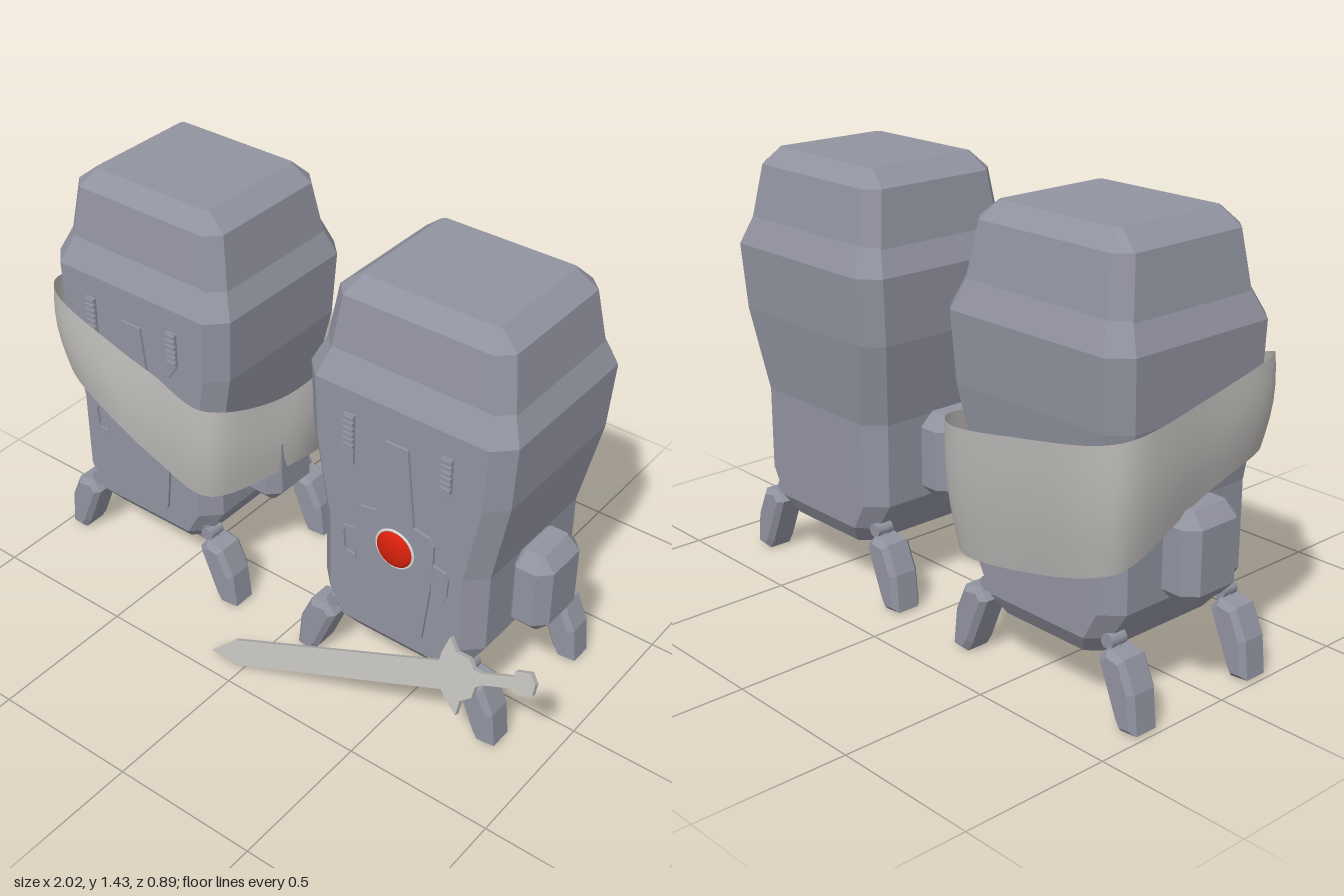
import * as THREE from 'three';

const mat = (name, color, side = THREE.FrontSide) => {
  const m = new THREE.MeshStandardMaterial({ color, side });
  m.name = name;
  return m;
};
const steel = mat('steelGrey', 0x9193a0);
const pale = mat('paleGrey', 0xb9b7b4, THREE.DoubleSide);
const red = mat('eyeRed', 0xd8200c);
const white = mat('eyeRimWhite', 0xd8d8d8);

function add(parent, name, geometry, material) {
  const mesh = new THREE.Mesh(geometry, material);
  mesh.name = name;
  parent.add(mesh);
  return mesh;
}

// Solid from chamfered rectangular rings: [y, half width, front z, back z, corner cut]
function loft(rings, cx = 0) {
  const pos = [], idx = [], n = rings.length;
  for (const [y, h, f, b, c] of rings) {
    const ring = [[h - c, f], [h, f - c], [h, b + c], [h - c, b],
      [c - h, b], [-h, b + c], [-h, f - c], [c - h, f]];
    for (const [x, z] of ring) pos.push(cx + x, y, z);
  }
  for (let r = 0; r < n - 1; r++) {
    for (let i = 0; i < 8; i++) {
      const a = r * 8 + i, b = r * 8 + (i + 1) % 8;
      idx.push(a, b, b + 8, a, b + 8, a + 8);
    }
  }
  const t = (n - 1) * 8;
  for (let i = 1; i < 7; i++) idx.push(0, i + 1, i, t, t + i, t + i + 1);
  let g = new THREE.BufferGeometry();
  g.setAttribute('position', new THREE.Float32BufferAttribute(pos, 3));
  g.setIndex(idx);
  g = g.toNonIndexed();
  g.computeVertexNormals();
  return g;
}

const toShape = (pts) => new THREE.Shape(pts.map(([x, y]) => new THREE.Vector2(x, y)));
const mirrored = (half) => [...half, ...half.slice().reverse().map(([x, y]) => [-x, y])];

function rod(a, b, r) {
  const p = new THREE.Vector3(...a), d = new THREE.Vector3(...b).sub(p);
  const g = new THREE.CylinderGeometry(r, r, d.length(), 10);
  g.applyQuaternion(new THREE.Quaternion().setFromUnitVectors(
    new THREE.Vector3(0, 1, 0), d.clone().normalize()));
  g.translate(p.x + d.x / 2, p.y + d.y / 2, p.z + d.z / 2);
  return g;
}

const FRONT = 0.23;

function buildRobot() {
  const robot = new THREE.Group();

  add(robot, 'body', loft([
    [0.185, 0.2, 0.18, -0.33, 0.04],
    [0.25, 0.25, FRONT, -0.37, 0.055],
    [0.34, 0.305, FRONT, -0.37, 0.06],
    [0.62, 0.305, FRONT, -0.37, 0.06],
    [0.9, 0.355, FRONT, -0.41, 0.06],
    [1.12, 0.365, FRONT, -0.425, 0.06],
    [1.21, 0.325, 0.186, -0.39, 0.05],
  ]), steel);
  add(robot, 'head', loft([
    [1.18, 0.332, 0.19, -0.393, 0.05],
    [1.38, 0.302, 0.16, -0.357, 0.045],
    [1.435, 0.235, 0.108, -0.305, 0.01],
  ]), steel);

  // Keyhole-shaped raised frame on the chest
  const panel = toShape(mirrored([[0.04, 1.005], [0.07, 0.735], [0.125, 0.725],
    [0.145, 0.7], [0.142, 0.57], [0.115, 0.32], [0.1, 0.3]]));
  panel.holes.push(toShape(mirrored([[0.028, 0.993], [0.058, 0.722], [0.118, 0.712],
    [0.132, 0.694], [0.129, 0.57], [0.103, 0.325], [0.094, 0.313]])));
  add(robot, 'chestFrame', new THREE.ExtrudeGeometry(panel,
    { depth: 0.009, bevelEnabled: false }), steel).position.z = FRONT;

  // Eye
  const eye = add(robot, 'eye', new THREE.SphereGeometry(0.065, 32, 20), red);
  eye.scale.z = 0.35;
  eye.position.set(0, 0.615, FRONT);
  add(robot, 'eyeRim', new THREE.TorusGeometry(0.067, 0.005, 8, 40), white)
    .position.set(0, 0.615, FRONT);

  for (const s of [-1, 1]) {
    // Side tab of the chest frame
    const tab = toShape([[0.143, 0.63], [0.19, 0.62], [0.2, 0.6], [0.196, 0.53],
      [0.185, 0.51], [0.14, 0.51]].map(([x, y]) => [s * x, y]));
    tab.holes.push(toShape([[0.147, 0.615], [0.182, 0.608], [0.188, 0.595], [0.184, 0.535],
      [0.178, 0.524], [0.145, 0.524]].map(([x, y]) => [s * x, y])));
    add(robot, 'frameTab', new THREE.ExtrudeGeometry(tab,
      { depth: 0.008, bevelEnabled: false }), steel).position.z = FRONT;

    // Slatted vent
    const vent = toShape([[0.192, 1.04], [0.155, 1.04], [0.155, 0.865], [0.192, 0.92]]
      .map(([x, y]) => [s * x, y]));
    add(robot, 'vent', new THREE.ExtrudeGeometry(vent,
      { depth: 0.008, bevelEnabled: false }), steel).position.z = FRONT;
    for (let i = 0; i < 6; i++) {
      add(robot, 'ventSlat', new THREE.BoxGeometry(0.037, 0.009, 0.014), steel)
        .position.set(s * 0.1735, 1.032 - i * 0.02, FRONT + 0.008);
    }

    // Side pod
    add(robot, 'sidePod', loft([
      [0.34, 0.035, 0.005, -0.14, 0.008],
      [0.385, 0.075, 0.045, -0.18, 0.04],
      [0.585, 0.075, 0.045, -0.18, 0.04],
      [0.63, 0.035, 0.005, -0.14, 0.008],
    ], s * 0.349), steel);

    // Front and back legs
    for (const z of [0.175, -0.305]) {
      const foot = toShape([[0.388, 0.006], [0.325, 0], [0.303, 0.035], [0.235, 0.2],
        [0.268, 0.236], [0.333, 0.225], [0.375, 0.13]].map(([x, y]) => [s * x, y]));
      add(robot, 'foot', new THREE.ExtrudeGeometry(foot, { depth: 0.078, bevelEnabled: true,
        bevelThickness: 0.017, bevelSize: 0.017, bevelOffset: -0.017, bevelSegments: 1 }), steel)
        .position.z = z - 0.039;
      add(robot, 'leg', rod([s * 0.285, 0.2, z], [s * 0.2, 0.31, z], 0.018), steel);
      add(robot, 'ankle', rod([s * 0.255, 0.25, z - 0.03], [s * 0.255, 0.25, z + 0.03], 0.024), steel);
      add(robot, 'hip', new THREE.SphereGeometry(0.03, 12, 8), steel)
        .position.set(s * 0.228, 0.278, z);
    }
  }
  return robot;
}

// Cloth band wrapped round the body: lower and upper edge loops with a slight belly
function sashGeometry() {
  const loop = (pts) => new THREE.CatmullRomCurve3(
    pts.map((p) => new THREE.Vector3(...p)), true, 'centripetal');
  const low = loop([[-0.345, 0.72, 0.19], [-0.28, 0.7, 0.24], [-0.05, 0.61, 0.275],
    [0.1, 0.53, 0.265], [0.27, 0.45, 0.24], [0.335, 0.45, 0.19], [0.43, 0.48, -0.07],
    [0.34, 0.37, -0.36], [0.28, 0.36, -0.4], [0, 0.4, -0.41], [-0.28, 0.48, -0.41],
    [-0.345, 0.51, -0.36], [-0.355, 0.64, -0.08]]);
  const high = loop([[-0.378, 1.015, 0.19], [-0.32, 1, 0.245], [-0.05, 0.9, 0.25],
    [0.1, 0.86, 0.25], [0.27, 0.8, 0.245], [0.35, 0.79, 0.19], [0.4, 0.74, -0.07],
    [0.385, 0.77, -0.37], [0.31, 0.77, -0.425], [0, 0.82, -0.445], [-0.31, 0.88, -0.43],
    [-0.375, 0.9, -0.37], [-0.378, 0.95, -0.08]]);
  const U = 104, V = 6, pos = [], idx = [];
  for (let j = 0; j <= V; j++) {
    const t = j / V;
    for (let i = 0; i < U; i++) {
      const p = low.getPoint(i / U).lerp(high.getPoint(i / U), t);
      const belly = 1 + 0.035 * Math.sin(Math.PI * t);
      pos.push(p.x * belly, p.y, (p.z + 0.09) * belly - 0.09);
      if (j < V) {
        const a = j * U + i, b = j * U + (i + 1) % U;
        idx.push(a, b, b + U, a, b + U, a + U);
      }
    }
  }
  const g = new THREE.BufferGeometry();
  g.setAttribute('position', new THREE.Float32BufferAttribute(pos, 3));
  g.setIndex(idx);
  g.computeVertexNormals();
  return g;
}

// Sword outline along its length, tip at the origin
function swordGeometry() {
  const half = [[0.1, 0.042], [0.88, 0.044], [0.89, 0.07], [0.925, 0.12], [0.943, 0.075],
    [0.985, 0.06], [1.0, 0.027], [1.02, 0.018], [1.13, 0.018], [1.14, 0.036], [1.19, 0.034]];
  const outline = [[0, 0], ...half.map(([u, v]) => [u, -v]), [1.203, 0], ...half.slice().reverse()];
  const g = new THREE.ExtrudeGeometry(toShape(outline), { depth: 0.02, bevelEnabled: false });
  g.translate(0, 0, -0.01);
  g.rotateZ(0.365);
  g.rotateX(-0.377);
  return g;
}

export function createModel() {
  const model = new THREE.Group();
  model.name = 'robotPair';

  const sashRobot = buildRobot();
  sashRobot.name = 'sashRobot';
  sashRobot.position.x = -0.595;
  add(sashRobot, 'sash', sashGeometry(), pale);

  const swordRobot = buildRobot();
  swordRobot.name = 'swordRobot';
  swordRobot.position.x = 0.452;

  model.add(sashRobot, swordRobot);
  add(model, 'sword', swordGeometry(), pale).position.set(-0.125, 0.015, 0.43);
  return model;
}
